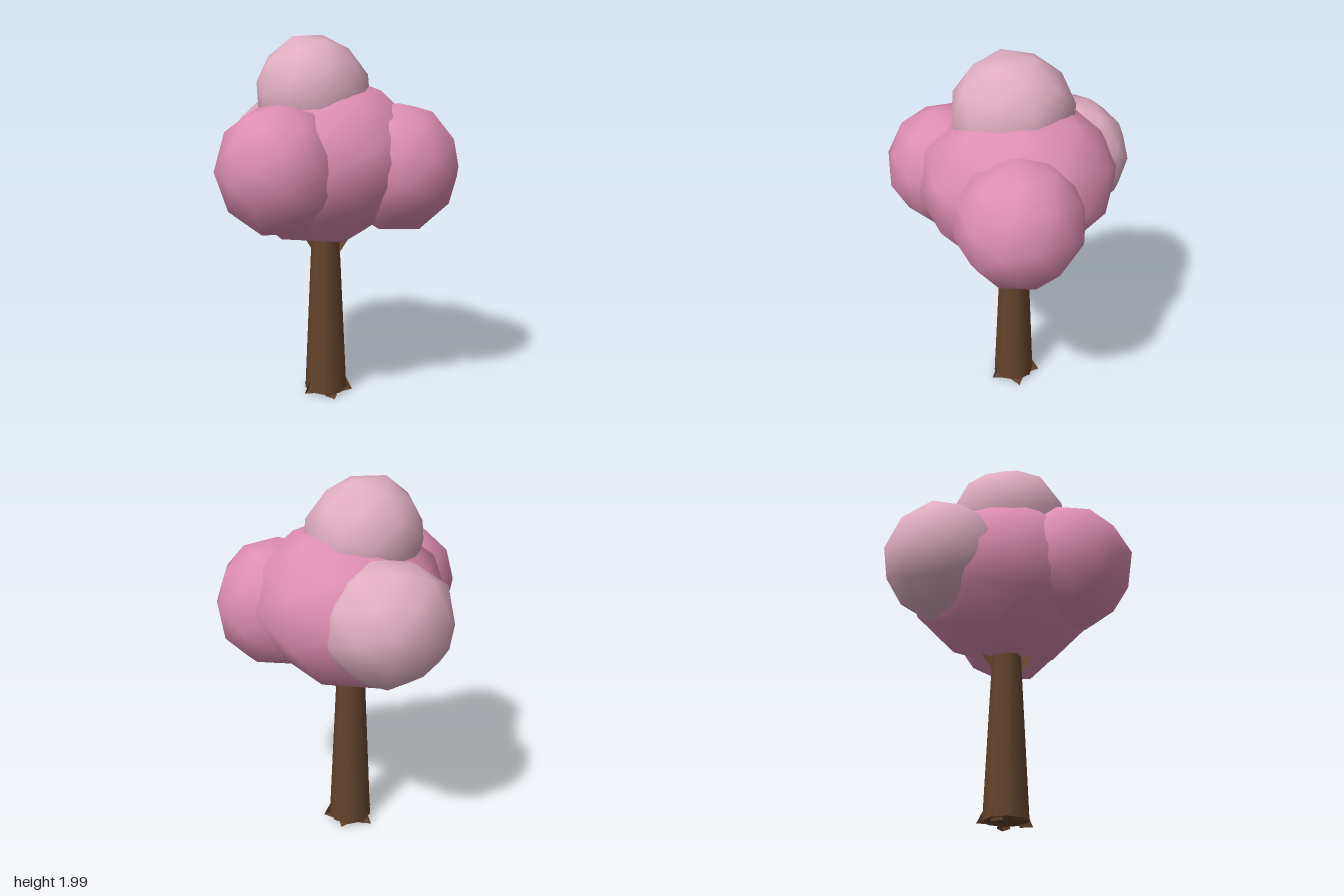
import * as THREE from 'three';

const mat = (name, color) => {
  const m = new THREE.MeshStandardMaterial({ color });
  m.name = name;
  return m;
};

export function createModel() {
  const tree = new THREE.Group();
  tree.name = 'blossomTree';
  const bark = mat('bark brown', 0x65442c);
  const pink = mat('blossom pink', 0xde8eb1);
  const pale = mat('pale blossom', 0xe0aec1);

  const add = (name, geometry, material) => {
    const mesh = new THREE.Mesh(geometry, material);
    mesh.name = name;
    tree.add(mesh);
    return mesh;
  };

  // Foliage: faceted smooth balls with slightly uneven surfaces.
  // lean shifts the upper half in x and z; yaw turns the finished ellipsoid.
  const ball = (name, material, center, radii, turn, { lean = [0, 0], yaw = 0 } = {}) => {
    const g = new THREE.IcosahedronGeometry(1, 1);
    g.rotateX(turn * 0.5).rotateY(turn);
    const p = g.attributes.position;
    for (let i = 0; i < p.count; i++) {
      const x = p.getX(i), y = p.getY(i), z = p.getZ(i);
      const k = 1.01 + 0.025 * Math.sin(4 * x + 3 * y + 5 * z + turn * 7);
      p.setXYZ(i, (x + lean[0] * y) * k, y * k, (z + lean[1] * y) * k);
    }
    g.scale(...radii).rotateY(yaw);
    add(name, g, material).position.set(...center);
  };
  ball('mainFoliage', pink, [-0.078, 1.334, -0.045], [0.515, 0.447, 0.53], 0.15, { lean: [0.08, -0.07] });
  ball('frontFoliage', pink, [-0.225, 1.337, 0.33], [0.317, 0.336, 0.32], 0.4);
  ball('leftFoliage', pink, [0.322, 1.308, -0.067], [0.335, 0.35, 0.335], 0.25);
  ball('backFoliage', pale, [-0.335, 1.355, -0.335], [0.34, 0.322, 0.31], 0.6, { yaw: Math.PI / 4 });
  ball('topFoliage', pale, [-0.128, 1.69, -0.022], [0.308, 0.315, 0.33], 0.9, { lean: [-0.04, 0] });

  // Trunk: tapered, with its foot slightly off the crown's middle
  const trunk = new THREE.CylinderGeometry(0.068, 0.117, 1.08, 8);
  trunk.rotateY(0.2);
  add('trunk', trunk, bark).position.set(-0.067, 0.56, -0.035);

  // Wedge from a tip to a wide end, each given as radius and height
  const wedge = (tip, end, halfWidth, thickness, angle) => {
    const [r0, y0] = tip, [r1, y1] = end;
    const v = [
      [r0, y0, 0],
      [r1, y1, 0],
      [r1 - thickness, y1, -halfWidth],
      [r1 - thickness, y1, halfWidth],
    ];
    const faces = [[0, 1, 2], [0, 3, 1], [0, 2, 3], [1, 3, 2]];
    const flip = y1 < y0;
    const points = faces.flatMap((f) => (flip ? [f[0], f[2], f[1]] : f)).flatMap((i) => v[i]);
    const g = new THREE.BufferGeometry();
    g.setAttribute('position', new THREE.Float32BufferAttribute(points, 3));
    g.computeVertexNormals();
    g.rotateY(angle);
    return g;
  };

  // Branches open upward into the foliage
  for (let i = 0; i < 4; i++) {
    const g = wedge([0.065, 0.81], [0.165, 0.97], 0.06, 0.12, i * Math.PI / 2 + 0.12);
    add('branch', g, bark).position.set(-0.06, 0, -0.03);
  }

  // Roots spread out at the foot
  for (let i = 0; i < 5; i++) {
    const g = wedge([0.1, 0.11], [0.15, 0.005 + 0.012 * (i % 2)], 0.035, 0.06, i * Math.PI * 0.4 + 0.25);
    add('root', g, bark).position.set(-0.067, 0, -0.035);
  }
  return tree;
}
